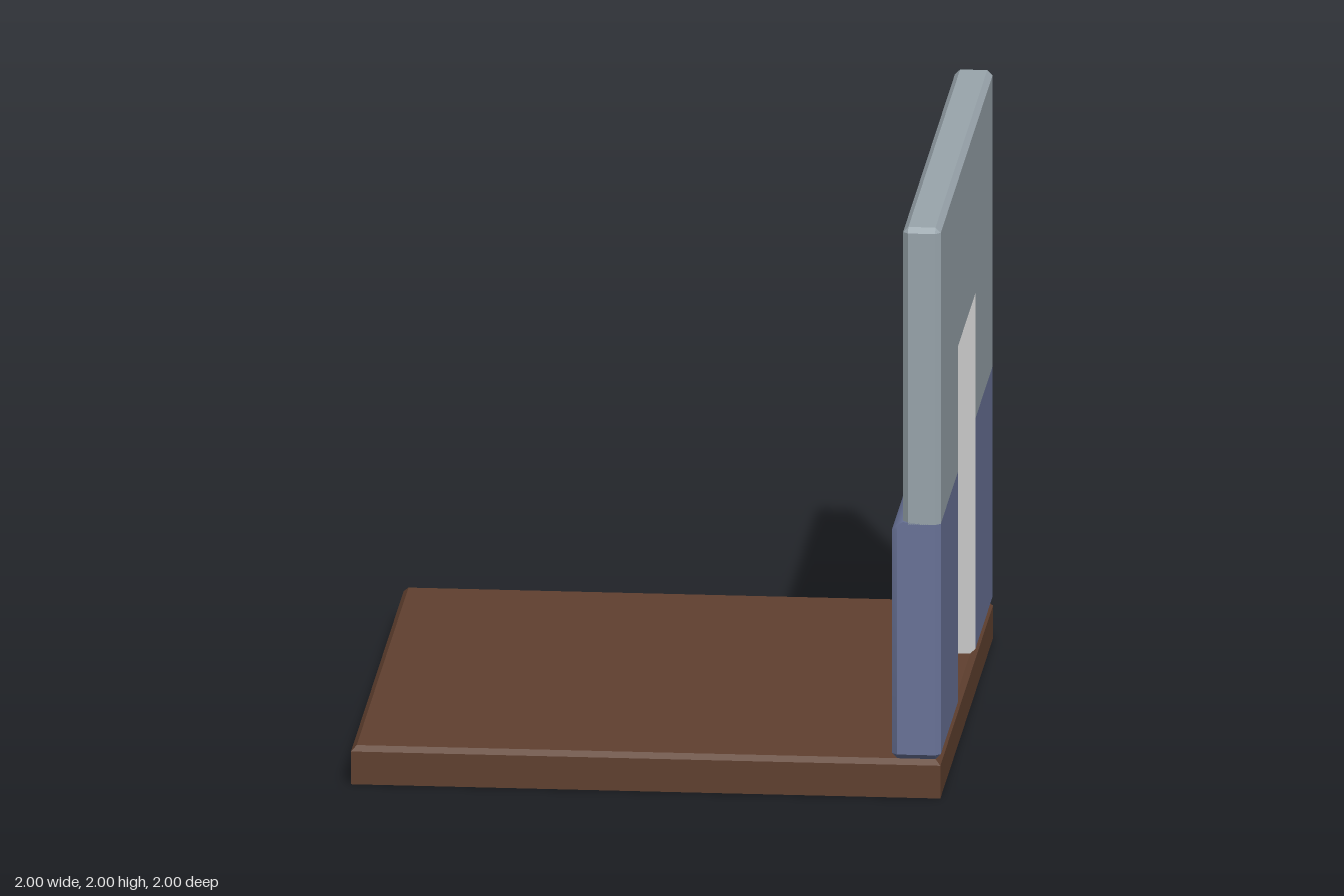
import * as THREE from 'three';
import { toCreasedNormals } from 'three/addons/utils/BufferGeometryUtils.js';

const FLOOR = 0.133, DOOR_Z = 0.333, DOOR_TOP = 1.4, SPLIT = 0.96;
const WALL_X = 0.872, PANEL_X = 0.835, C = 0.018; // C = edge chamfer

const mat = (color) => new THREE.MeshStandardMaterial({ color, roughness: 0.8 });

// Lofts a counter-clockwise xy profile through rings [z, inset] of rising z.
// box = [x0, x1, y0, y1] limits the inset rings. Cap material indices may be null.
function loft(profile, rings, box, { closed = true, startCap = 0, endCap = 0 } = {}) {
  const n = profile.length, pos = [], index = [];
  const geo = new THREE.BufferGeometry();
  for (const [z, inset] of rings) {
    for (const [x, y] of profile) {
      pos.push(
        THREE.MathUtils.clamp(x, box[0] + inset, box[1] - inset),
        THREE.MathUtils.clamp(y, box[2] + inset, box[3] - inset), z);
    }
  }
  for (let i = 0; i < rings.length - 1; i++) {
    for (let j = 0; j < (closed ? n : n - 1); j++) {
      const a = i * n + j, b = i * n + (j + 1) % n;
      index.push(a, b, b + n, a, b + n, a + n);
    }
  }
  geo.addGroup(0, index.length, 0);
  const faces = THREE.ShapeUtils.triangulateShape(profile.map(([x, y]) => new THREE.Vector2(x, y)), []);
  const cap = (offset, flip, material) => {
    if (material === null) return;
    const start = index.length;
    for (const [a, b, c] of faces) index.push(offset + a, offset + (flip ? c : b), offset + (flip ? b : c));
    geo.addGroup(start, index.length - start, material);
  };
  cap(0, true, startCap);
  cap((rings.length - 1) * n, false, endCap);
  geo.setAttribute('position', new THREE.Float32BufferAttribute(pos, 3));
  geo.setIndex(index);
  return toCreasedNormals(geo, 0.6);
}

// Upper wall section, open at the bottom, chamfered along the top
const wallProfile = (y) => [
  [1, y], [1, 2 - C], [1 - C, 2], [WALL_X + C, 2], [WALL_X, 2 - C], [WALL_X, y],
];

// Lower panel section with a sloped ledge on the inner side
const panelProfile = [
  [PANEL_X + C, FLOOR], [1 - C, FLOOR], [1, FLOOR + C], [1, SPLIT],
  [WALL_X, SPLIT + 0.008], [PANEL_X + C, SPLIT - 0.003], [PANEL_X, SPLIT - 0.022], [PANEL_X, FLOOR + C],
];

export function createModel() {
  const group = new THREE.Group();
  const brown = mat(0x60402f), wall = mat(0x99a5ac), blue = mat(0x6a7499), grey = mat(0xcccccc);
  const add = (name, geo, material) => {
    const mesh = new THREE.Mesh(geo, material);
    mesh.name = name;
    group.add(mesh);
    return mesh;
  };

  // Floor slab with chamfered top edges
  const floor = loft([[-1, -1], [1, -1], [1, 1], [-1, 1]],
    [[0, 0], [FLOOR - C, 0], [FLOOR, C]], [-1, 1, -1, 1]);
  floor.rotateX(-Math.PI / 2);
  add('floor', floor, [brown]);

  // Piers either side of the doorway: plain wall above, thicker panel below
  for (const side of [-1, 1]) {
    const rings = side > 0
      ? [[DOOR_Z, 0], [1 - C, 0], [1, C]]
      : [[-1, C], [-1 + C, 0], [-DOOR_Z, 0]];
    // The doorway end of each pier is bare grey
    const caps = side > 0 ? { startCap: 1, endCap: 0 } : { startCap: 0, endCap: 1 };
    const label = side > 0 ? 'front' : 'back';
    const low = FLOOR, high = 2;

    // Above the door height the pier meets the lintel, so the cap is hidden there
    add(`${label}WallPier`, loft(wallProfile(SPLIT), rings, [WALL_X, 1, low, high],
      { closed: false, ...caps }), [wall, grey]);
    add(`${label}LowerPanel`, loft(panelProfile, rings, [PANEL_X, 1, low, high], caps), [blue, grey]);
  }

  // Lintel over the doorway, with its grey underside
  add('lintel', loft(wallProfile(DOOR_TOP), [[-DOOR_Z, 0], [DOOR_Z, 0]], [WALL_X, 1, FLOOR, 2],
    { closed: false, startCap: null, endCap: null }), [wall]);
  const soffit = new THREE.PlaneGeometry(1 - WALL_X, 2 * DOOR_Z).rotateX(Math.PI / 2);
  add('doorwaySoffit', soffit, grey).position.set((1 + WALL_X) / 2, DOOR_TOP, 0);

  return group;
}
